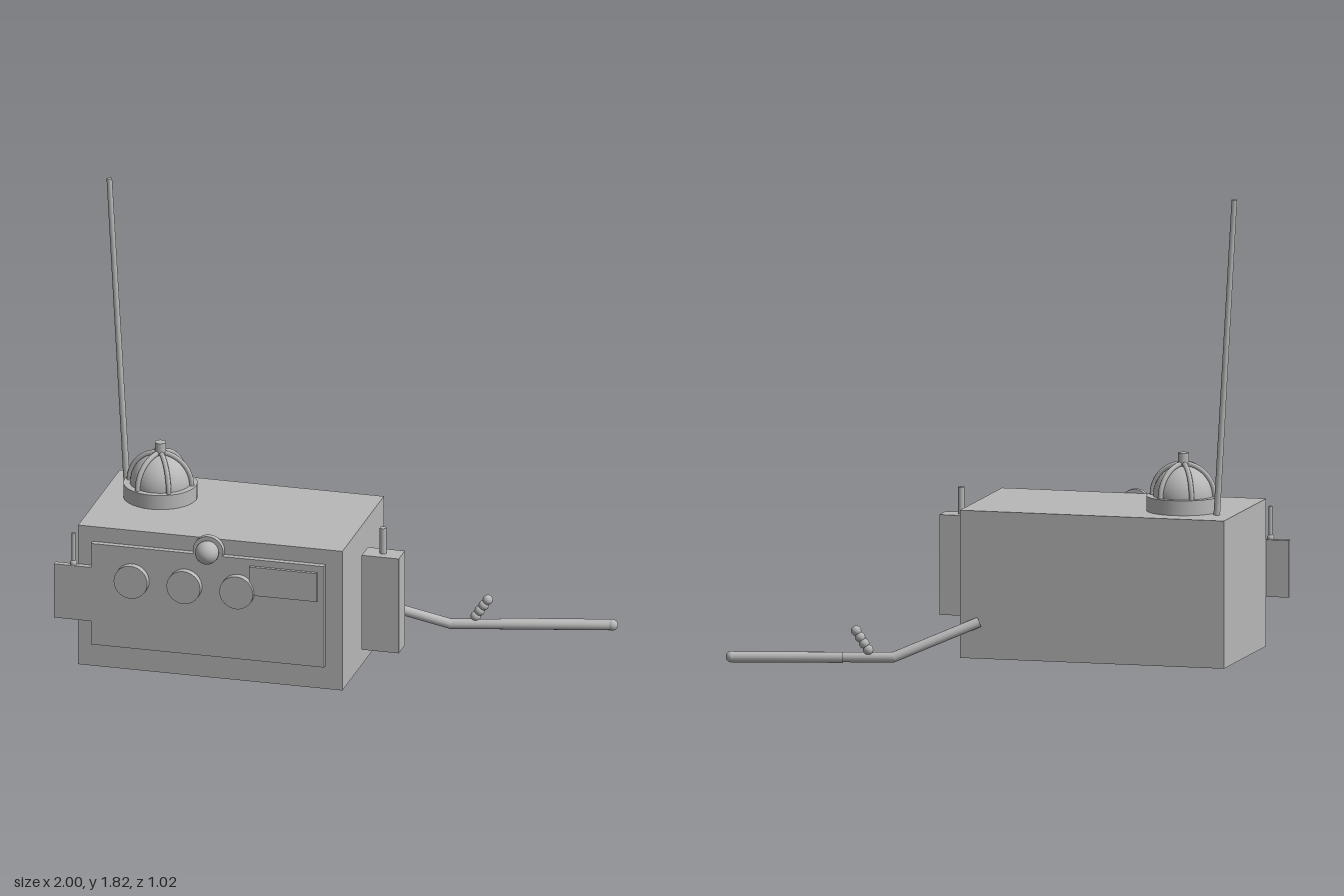
import * as THREE from 'three';

const V = (x, y, z) => new THREE.Vector3(x, y, z);

export function createModel() {
  const model = new THREE.Group();
  const grey = new THREE.MeshStandardMaterial({ color: 0xb8b8b8 });
  grey.name = 'plain grey';

  const add = (name, geometry, x = 0, y = 0, z = 0) => {
    const mesh = new THREE.Mesh(geometry, grey);
    mesh.name = name;
    mesh.position.set(x, y, z);
    model.add(mesh);
    return mesh;
  };
  // box given by its two opposite corners
  const box = (name, a, b) => add(name, new THREE.BoxGeometry(b[0] - a[0], b[1] - a[1], b[2] - a[2]),
    (a[0] + b[0]) / 2, (a[1] + b[1]) / 2, (a[2] + b[2]) / 2);
  // round rod between two points
  const rod = (name, a, b, r0, r1 = r0, sides = 16) => {
    const d = b.clone().sub(a);
    const m = a.clone().add(b).multiplyScalar(0.5);
    const mesh = add(name, new THREE.CylinderGeometry(r1, r0, d.length(), sides), m.x, m.y, m.z);
    mesh.quaternion.setFromUnitVectors(V(0, 1, 0), d.normalize());
    return mesh;
  };
  const ball = (name, p, r) => add(name, new THREE.SphereGeometry(r, 24, 16), p.x, p.y, p.z);

  // main case
  box('case', [-0.91, 0.01, -0.185], [0.145, 0.585, 0.42]);

  // front panel with side tab and round bump on its top edge
  const cx = -0.385, cy = 0.54, r = 0.06, top = 0.524;
  const a = Math.asin((top - cy) / r);
  const face = new THREE.Shape();
  face.moveTo(-0.853, 0.107);
  face.lineTo(0.078, 0.107);
  face.lineTo(0.078, top);
  face.lineTo(cx + r * Math.cos(a), top);
  face.absarc(cx, cy, r, a, Math.PI - a, false);
  face.lineTo(-0.853, top);
  face.lineTo(-0.853, 0.425);
  face.lineTo(-1, 0.425);
  face.lineTo(-1, 0.203);
  face.lineTo(-0.853, 0.203);
  face.closePath();
  add('frontPanel', new THREE.ExtrudeGeometry(face, { depth: 0.024, bevelEnabled: false, curveSegments: 24 }), 0, 0, 0.42);

  // panel fittings
  for (const x of [-0.687, -0.476, -0.265]) {
    rod('dial', V(x, 0.39, 0.43), V(x, 0.39, 0.472), 0.067, 0.067, 32);
  }
  box('displayPlate', [-0.217, 0.38, 0.44], [0.053, 0.497, 0.457]);
  ball('indicatorBall', V(cx, cy, 0.46), 0.046);
  rod('tabPin', V(-0.925, 0.42, 0.432), V(-0.925, 0.555, 0.432), 0.008);
  ball('tabPinFoot', V(-0.925, 0.432, 0.432), 0.014);

  // caged dome on the roof
  const dx = -0.685, dz = 0.042;
  rod('domeBase', V(dx, 0.58, dz), V(dx, 0.643, dz), 0.143, 0.143, 32);
  add('dome', new THREE.SphereGeometry(0.118, 32, 12, 0, Math.PI * 2, 0, Math.PI / 2), dx, 0.643, dz);
  for (let i = 0; i < 3; i++) {
    const rib = add('domeRib', new THREE.TorusGeometry(0.125, 0.01, 8, 32, Math.PI), dx, 0.643, dz);
    rib.rotation.y = i * Math.PI / 3;
  }
  rod('domeKnob', V(dx, 0.75, dz), V(dx, 0.81, dz), 0.022);

  // tall whip aerial
  rod('aerial', V(-0.84, 0.58, -0.037), V(-0.926, 1.823, -0.093), 0.013, 0.011, 12);

  // separate side box with pin
  box('sideBox', [0.177, 0.12, 0.165], [0.325, 0.51, 0.255]);
  rod('sideBoxPin', V(0.25, 0.5, 0.21), V(0.25, 0.615, 0.21), 0.013);

  // bent rear arm with sleeve and beaded lever
  const start = V(0.07, 0.152, -0.185), bend = V(0.37, 0.025, -0.335), end = V(0.965, 0.025, -0.482);
  rod('armUpper', start, bend, 0.02);
  ball('armElbow', bend, 0.02);
  rod('armLower', bend, end, 0.02);
  rod('armSleeve', V(0.555, 0.025, -0.39), V(0.967, 0.025, -0.49), 0.021);
  ball('armTip', V(0.974, 0.025, -0.488), 0.022);
  for (let i = 0; i < 4; i++) {
    ball('leverBead', V(0.462 + i * 0.016, 0.055 + i * 0.024, -0.365), 0.02);
  }

  return model;
}
